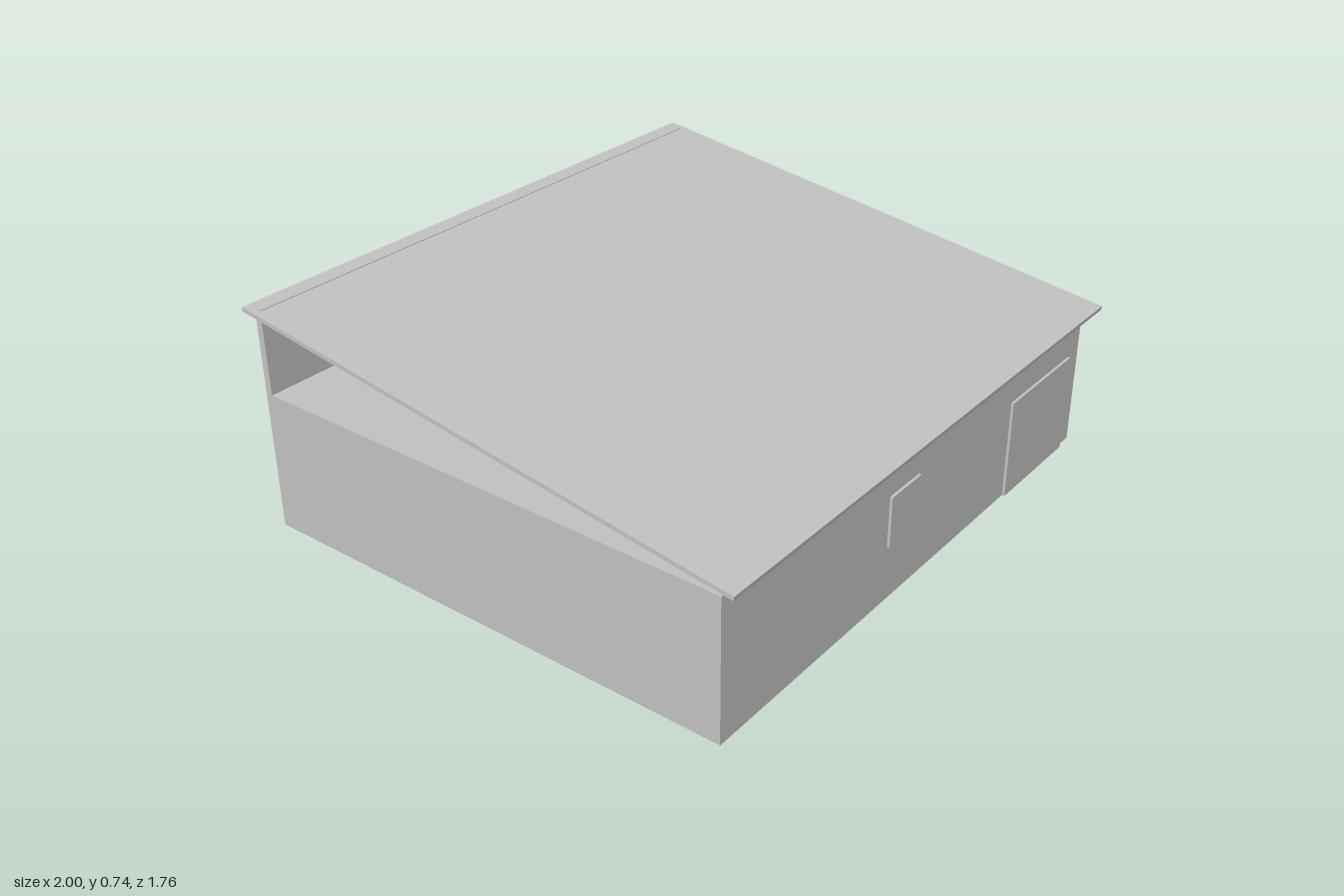
import * as THREE from 'three';

export function createModel() {
  const group = new THREE.Group();
  const grey = new THREE.MeshStandardMaterial({ color: 0xc0c0c0 });
  grey.name = 'light grey';

  // Box given by its minimum and maximum corners
  function block(name, [x0, y0, z0], [x1, y1, z1]) {
    const mesh = new THREE.Mesh(new THREE.BoxGeometry(x1 - x0, y1 - y0, z1 - z0), grey);
    mesh.position.set((x0 + x1) / 2, (y0 + y1) / 2, (z0 + z1) / 2);
    mesh.name = name;
    group.add(mesh);
    return mesh;
  }

  const left = 0.974, right = -0.978, front = 0.825, back = -0.849;

  // Main block with a flat top, open beneath the roof
  block('body', [right, 0, back], [left, 0.461, front]);

  // Thin tall wall that carries the high edge of the roof
  block('backWall', [right, 0.461, back], [left, 0.738, -0.825]);

  // Raised door and window panels on the front
  block('door', [0.517, 0, front], [0.904, 0.335, 0.834]);
  block('window', [-0.195, 0.185, front], [-0.039, 0.351, 0.834]);

  // Single sloping roof slab, rising to the back
  const slope = Math.atan2(0.246, 1.756);
  const roof = block('roof', [-1, -0.007, -0.887], [1, 0.007, 0.887]);
  roof.position.y = 0.613;
  roof.rotation.x = slope;

  return group;
}
